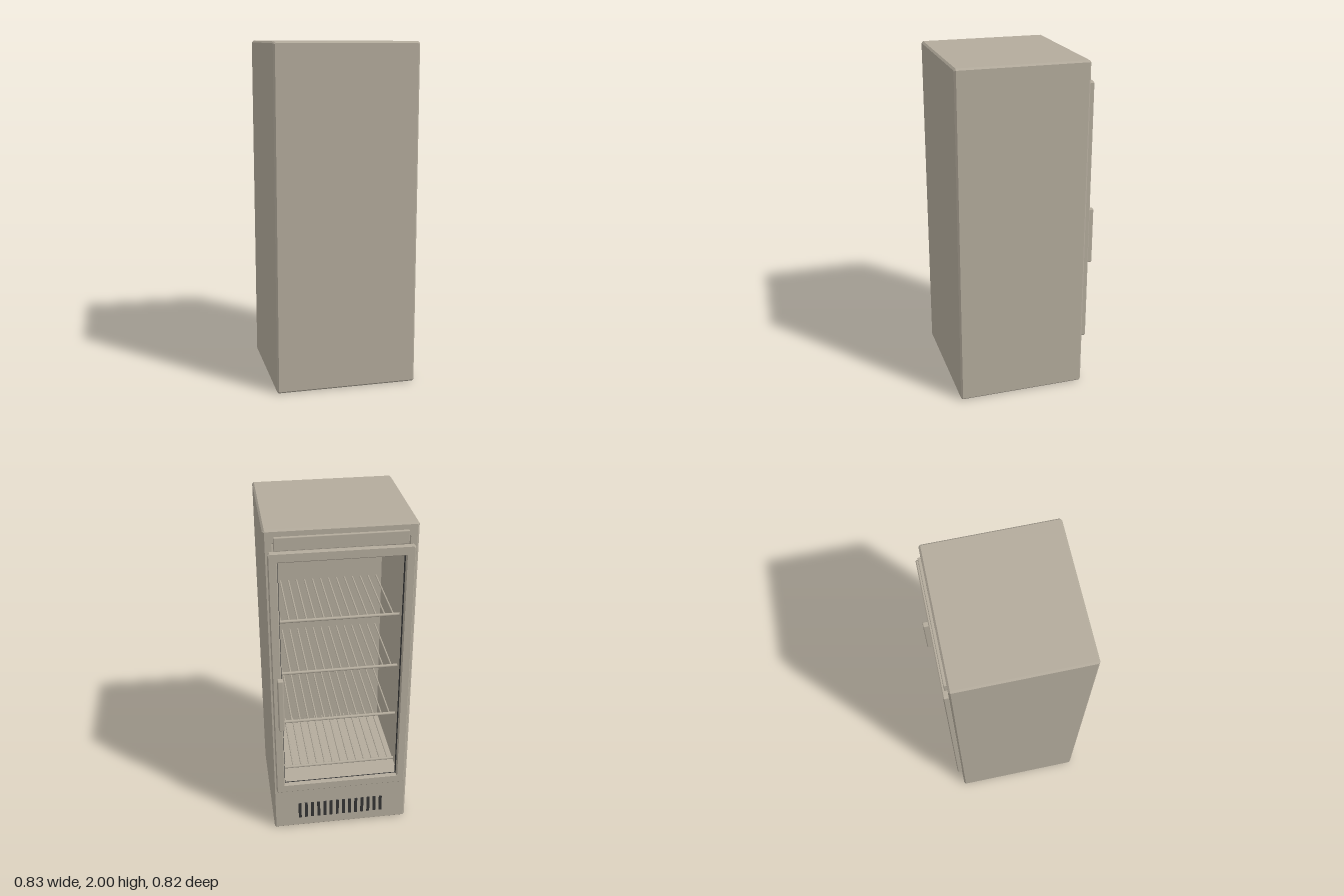
import * as THREE from 'three';
import { RoundedBoxGeometry } from 'three/addons/geometries/RoundedBoxGeometry.js';

const paint = new THREE.MeshStandardMaterial({ color: 0xb3ab9c });
paint.name = 'warm grey paint';
const dark = new THREE.MeshStandardMaterial({ color: 0x333333 });
dark.name = 'dark rubber';

// Rectangle outline with its corners cut by c
function rect(path, x, y0, y1, c) {
  const points = [
    [-x + c, y0], [x - c, y0], [x, y0 + c], [x, y1 - c],
    [x - c, y1], [-x + c, y1], [-x, y1 - c], [-x, y0 + c],
  ];
  points.forEach(([px, py], i) => (i ? path.lineTo(px, py) : path.moveTo(px, py)));
  path.closePath();
  return path;
}

// Hollow rectangular frame between z0 and z1 with chamfered edges
function frame(outer, inner, z0, z1, bevel) {
  const shape = rect(new THREE.Shape(), ...outer, 0.01);
  shape.holes.push(rect(new THREE.Path(), ...inner, 0.001));
  const geometry = new THREE.ExtrudeGeometry(shape, {
    depth: z1 - z0 - 2 * bevel,
    bevelEnabled: bevel > 0,
    bevelThickness: bevel,
    bevelSize: bevel,
    bevelOffset: -bevel,
    bevelSegments: 1,
  });
  return geometry.translate(0, 0, z0 + bevel);
}

export function createModel() {
  const model = new THREE.Group();
  model.name = 'displayFridge';

  function add(name, geometry, material, x = 0, y = 0, z = 0, parent = model) {
    const mesh = new THREE.Mesh(geometry, material);
    mesh.name = name;
    mesh.position.set(x, y, z);
    parent.add(mesh);
    return mesh;
  }

  // Cabinet: hollow shell closed by a thick back panel; it opens towards -z
  add('cabinetShell', frame([0.415, 0, 2], [0.36, 0.34, 1.92], -0.35, 0.412, 0.01), paint);
  add('backPanel', new THREE.BoxGeometry(0.746, 1.606, 0.082), paint, 0, 1.13, 0.371);

  // Header strip above the door
  add('headerPanel', new RoundedBoxGeometry(0.72, 0.075, 0.03, 1, 0.004), paint, 0, 1.924, -0.351);

  // Open door frame with seal and handle
  add('doorFrame', frame([0.395, 0.3, 1.88], [0.345, 0.355, 1.825], -0.379, -0.347, 0.005), paint);
  add('doorSeal', frame([0.355, 0.345, 1.835], [0.341, 0.351, 1.829], -0.356, -0.34, 0), dark);
  add('doorHandle', new RoundedBoxGeometry(0.034, 0.34, 0.038, 2, 0.007), paint, 0.353, 0.95, -0.394);

  // Wire shelves: one front rail each, rods running to the back
  const rail = new THREE.CylinderGeometry(0.009, 0.009, 0.72, 10).rotateZ(Math.PI / 2);
  const rod = new THREE.CylinderGeometry(0.005, 0.005, 0.53, 8).rotateX(Math.PI / 2);
  for (let level = 0; level < 4; level++) {
    const shelf = new THREE.Group();
    shelf.name = 'wireShelf';
    shelf.position.y = 0.355 + level * 0.343;
    model.add(shelf);
    add('shelfRail', rail, paint, 0, 0, -0.2, shelf);
    for (let i = 0; i < 14; i++) {
      add('shelfRod', rod, paint, -0.325 + i * 0.05, 0, 0.065, shelf);
    }
  }

  // Vent slots under the door
  const slot = new THREE.BoxGeometry(0.018, 0.11, 0.008);
  for (let i = 0; i < 14; i++) {
    add('ventSlot', slot, dark, -0.254 + i * 0.0391, 0.125, -0.352);
  }

  return model;
}
